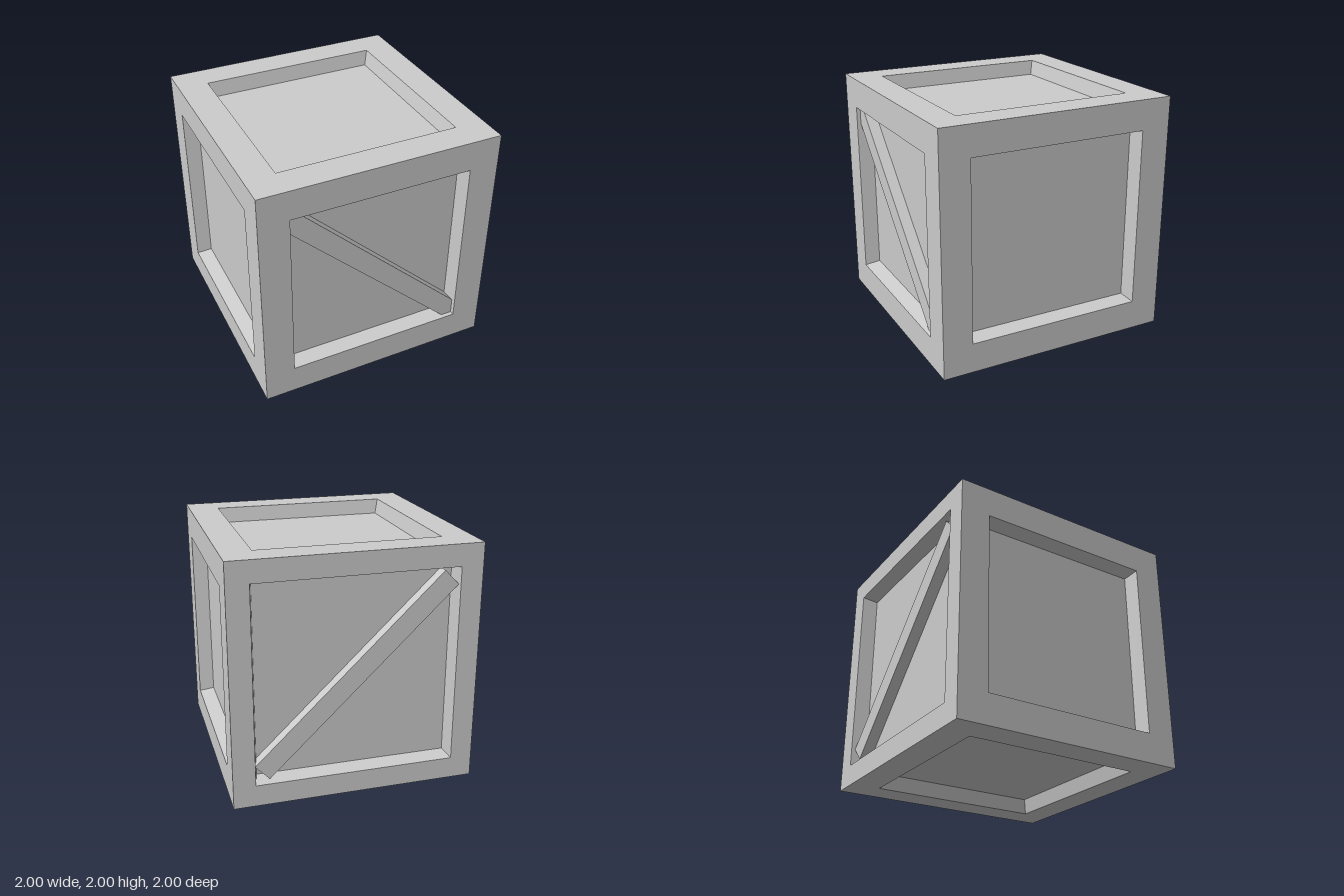
import * as THREE from 'three';

const DEPTH = 0.125; // recess depth
const TAPER = 0.03;  // how far the recess narrows towards its floor

const grey = new THREE.MeshStandardMaterial({ color: 0xcccccc, flatShading: true });
const greyDouble = new THREE.MeshStandardMaterial({ color: 0xcccccc, flatShading: true, side: THREE.DoubleSide });

function part(name, geometry, material = grey) {
  const mesh = new THREE.Mesh(geometry, material);
  mesh.name = name;
  return mesh;
}

function square(half, Type) {
  return new Type([[-half, -half], [half, -half], [half, half], [-half, half]].map(([x, y]) => new THREE.Vector2(x, y)));
}

// One side of the crate, facing +z: border, sloping recess walls, sunken panel
function crateSide(name, half) {
  const side = new THREE.Group();
  side.name = name;

  const border = square(1, THREE.Shape);
  border.holes.push(square(half, THREE.Path));
  const frame = part('frameBorder', new THREE.ShapeGeometry(border));
  frame.position.z = 1;

  const wallGeometry = new THREE.CylinderGeometry(half * Math.SQRT2, (half - TAPER) * Math.SQRT2, DEPTH, 4, 1, true);
  wallGeometry.rotateY(Math.PI / 4).rotateX(Math.PI / 2);
  const walls = part('recessWalls', wallGeometry, greyDouble);
  walls.position.z = 1 - DEPTH / 2;

  const panelSize = 2 * (half - TAPER);
  const panel = part('panel', new THREE.PlaneGeometry(panelSize, panelSize));
  panel.position.z = 1 - DEPTH;

  side.add(frame, walls, panel);
  return side;
}

// Diagonal plank lying in a recess, just below the border
function brace(angle) {
  const plank = part('diagonalBrace', new THREE.BoxGeometry(2.11, 0.167, 0.12));
  plank.rotation.z = angle;
  plank.position.z = 0.91;
  return plank;
}

export function createModel() {
  const crate = new THREE.Group();
  crate.name = 'crate';

  // name, half-width of the opening, turn about x, turn about y, brace angle
  const tilt = THREE.MathUtils.degToRad(44);
  const sides = [
    ['frontSide', 0.75, 0, 0, -tilt],
    ['backSide', 0.82, 0, Math.PI, tilt],
    ['leftSide', 0.75, 0, Math.PI / 2],
    ['rightSide', 0.75, 0, -Math.PI / 2],
    ['topSide', 0.75, -Math.PI / 2, 0],
    ['bottomSide', 0.75, Math.PI / 2, 0],
  ];
  for (const [name, half, turnX, turnY, braceAngle] of sides) {
    const side = crateSide(name, half);
    if (braceAngle !== undefined) side.add(brace(braceAngle));
    side.rotation.set(turnX, turnY, 0);
    side.position.y = 1;
    crate.add(side);
  }
  return crate;
}
